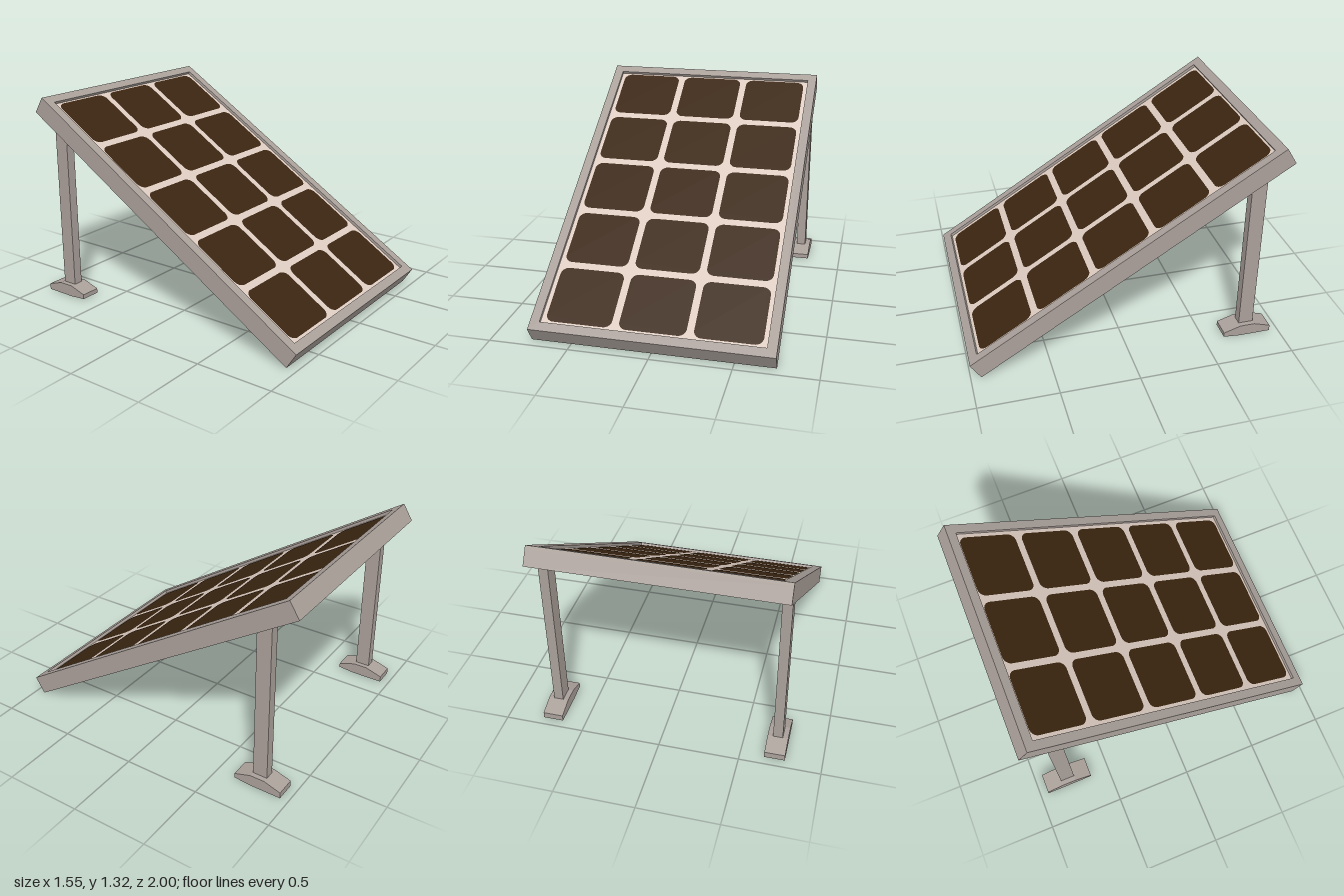
import * as THREE from 'three';

const TILT = Math.atan2(1.21, 1.935);
const WIDTH = 1.5, LENGTH = 2.282, THICK = 0.12, RECESS = 0.02, BORDER = 0.06;

function material(name, color) {
  const m = new THREE.MeshStandardMaterial({ color });
  m.name = name;
  return m;
}

function mesh(name, geometry, mat, parent) {
  const m = new THREE.Mesh(geometry, mat);
  m.name = name;
  parent.add(m);
  return m;
}

// Rectangle with rounded corners, centred on the origin
function roundedRect(w, h, r) {
  const s = new THREE.Shape(), x = w / 2, y = h / 2;
  s.absarc(x - r, y - r, r, 0, Math.PI / 2);
  s.absarc(-x + r, y - r, r, Math.PI / 2, Math.PI);
  s.absarc(-x + r, -y + r, r, Math.PI, Math.PI * 1.5);
  s.absarc(x - r, -y + r, r, Math.PI * 1.5, Math.PI * 2);
  s.closePath();
  return s;
}

// Side profile given as [z, y] points, extruded along x and centred on x = 0
function sideProfile(points, width) {
  const shape = new THREE.Shape(points.map(([z, y]) => new THREE.Vector2(z, y)));
  return new THREE.ExtrudeGeometry(shape, { depth: width, bevelEnabled: false })
    .translate(0, 0, -width / 2)
    .rotateY(-Math.PI / 2);
}

function rect(w, h, Type) {
  const x = w / 2, y = h / 2;
  return new Type([[-x, -y], [x, -y], [x, y], [-x, y]].map(([a, b]) => new THREE.Vector2(a, b)));
}

export function createModel() {
  const model = new THREE.Group();
  model.name = 'solarPanel';
  const metal = material('warm grey metal', 0xaaa09a);
  const backing = material('pale backing', 0xdccbc0);
  const cellBrown = material('dark brown cell', 0x3a2510);

  // Tilted panel
  const panel = new THREE.Group();
  panel.name = 'panel';
  panel.position.y = 0.66;
  panel.rotation.x = TILT;
  model.add(panel);

  const floor = THICK / 2 - RECESS;
  mesh('tray', new THREE.BoxGeometry(WIDTH, THICK - RECESS, LENGTH), metal, panel)
    .position.y = -RECESS / 2;

  // Raised rim around the recessed face
  const rimShape = rect(WIDTH, LENGTH, THREE.Shape);
  rimShape.holes.push(rect(WIDTH - 2 * BORDER, LENGTH - 2 * BORDER, THREE.Path));
  const rim = new THREE.ExtrudeGeometry(rimShape, { depth: RECESS, bevelEnabled: false })
    .rotateX(-Math.PI / 2);
  mesh('rim', rim, metal, panel).position.y = floor;

  const sheet = new THREE.PlaneGeometry(WIDTH - 2 * BORDER, LENGTH - 2 * BORDER)
    .rotateX(-Math.PI / 2);
  mesh('backingSheet', sheet, backing, panel).position.y = floor + 0.001;

  // Grid of cells, three across and five along
  const cell = new THREE.ShapeGeometry(roundedRect(0.413, 0.39, 0.05), 5).rotateX(-Math.PI / 2);
  for (let row = -2; row <= 2; row++) {
    for (let col = -1; col <= 1; col++) {
      mesh('cell', cell, cellBrown, panel).position.set(col * 0.457, floor + 0.003, row * 0.435 - 0.004);
    }
  }

  // Rear legs, cut to the slope of the underside, on wedge feet
  const leg = sideProfile([[-0.835, 0.07], [-0.74, 0.07], [-0.74, 1.06], [-0.835, 1.12]], 0.06);
  const foot = sideProfile([
    [-0.945, 0], [-0.74, 0], [-0.63, 0.01], [-0.63, 0.04],
    [-0.74, 0.075], [-0.835, 0.075], [-0.945, 0.04],
  ], 0.127);
  for (const [side, sign] of [['left', 1], ['right', -1]]) {
    const support = new THREE.Group();
    support.name = side + 'Support';
    support.position.x = sign * 0.711;
    mesh('leg', leg, metal, support);
    mesh('foot', foot, metal, support);
    model.add(support);
  }
  return model;
}
